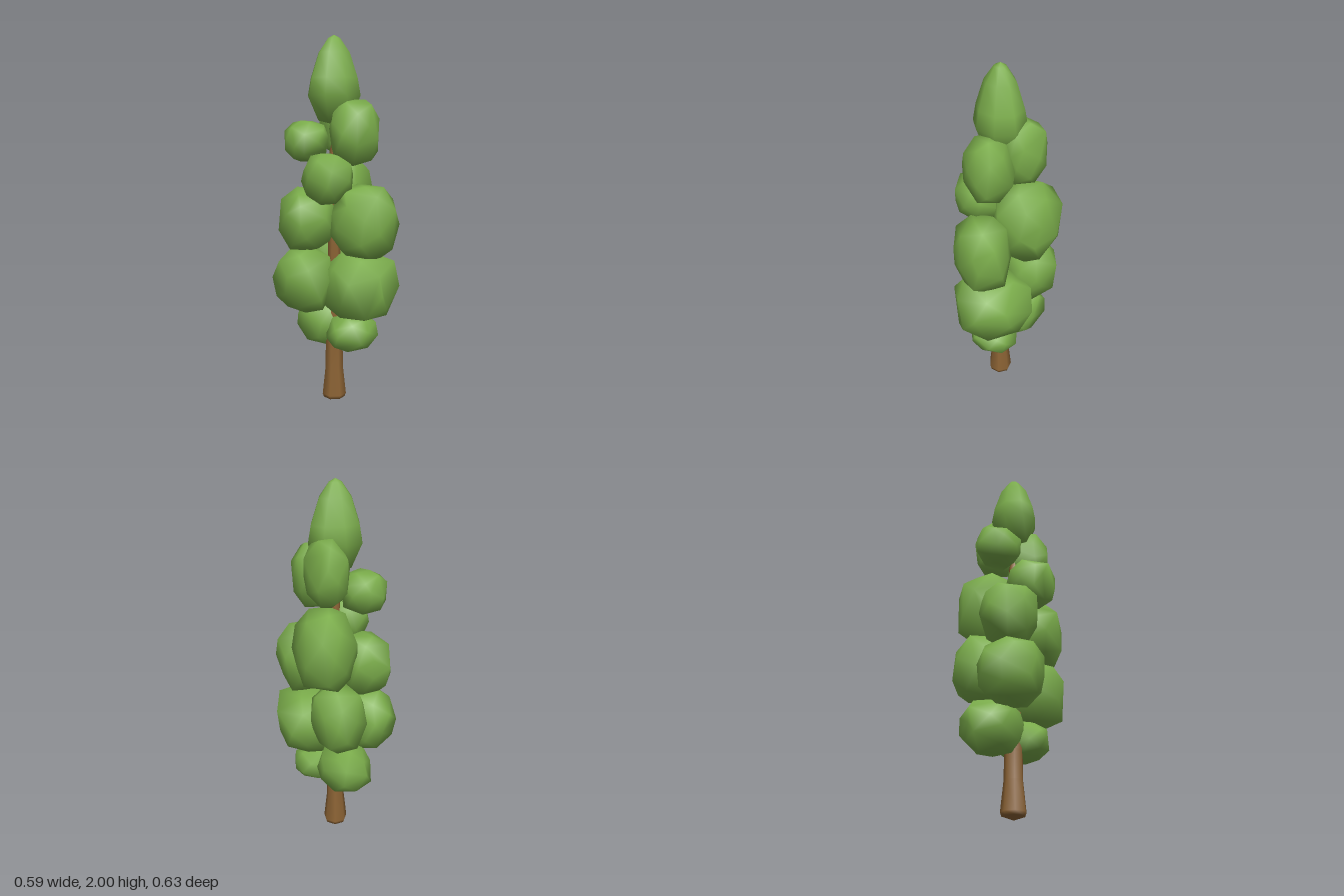
import * as THREE from 'three';
import { mergeVertices } from 'three/addons/utils/BufferGeometryUtils.js';
import { ConvexGeometry } from 'three/addons/geometries/ConvexGeometry.js';

// small seeded generator for repeatable irregularity
function seeded(seed) {
  let s = seed * 7919 + 17;
  return () => {
    s = (s * 16807) % 2147483647;
    return s / 2147483647;
  };
}

// faceted lump that exactly fills a box of half sizes rx, ry, rz; a higher power is boxier
function lumpGeometry(rx, ry, rz, power, seed) {
  const rand = seeded(seed);
  for (let i = 0; i < 5; i++) rand();
  const count = 30, turn = rand() * Math.PI * 2;
  const points = [];
  for (let i = 0; i < count; i++) {
    // spiral of points over a rounded box, each nudged a little
    const y = 1 - (2 * i + 1) / count;
    const a = i * 2.39996 + turn + (rand() - 0.5) * 0.5;
    const r = Math.sqrt(1 - y * y);
    const v = new THREE.Vector3(r * Math.cos(a), y, r * Math.sin(a));
    const len = Math.abs(v.x) ** power + Math.abs(v.y) ** power + Math.abs(v.z) ** power;
    points.push(v.multiplyScalar(len ** (-1 / power) * (0.95 + rand() * 0.08)));
  }
  let geo = new ConvexGeometry(points);
  geo.deleteAttribute('normal');
  geo = mergeVertices(geo, 1e-4);
  geo.center();
  geo.computeBoundingBox();
  const b = geo.boundingBox.max;
  geo.scale(rx / b.x, ry / b.y, rz / b.z);
  geo.computeVertexNormals();
  return geo;
}

export function createModel() {
  const model = new THREE.Group();
  model.name = 'tree';
  const leafGreen = new THREE.MeshStandardMaterial({ color: 0x7bad4b });
  leafGreen.name = 'leaf green';
  const barkBrown = new THREE.MeshStandardMaterial({ color: 0x8d6435 });
  barkBrown.name = 'bark brown';

  const add = (name, geo, mat, parent = model) => {
    const mesh = new THREE.Mesh(geo, mat);
    mesh.name = name;
    parent.add(mesh);
    return mesh;
  };
  const profile = (pts) => pts.map(([r, y]) => new THREE.Vector2(r, y));

  // trunk: flared foot, tapering up through the crown
  const trunk = new THREE.LatheGeometry(profile([
    [0, 0.005], [0.06, 0.025], [0.067, 0.045], [0.05, 0.2], [0.048, 0.35], [0.034, 0.9], [0.025, 1.4], [0, 1.5],
  ]), 7);
  add('trunk', trunk, barkBrown);

  // pointed top of the crown
  const tip = new THREE.LatheGeometry(profile([
    [0, 1.54], [0.09, 1.56], [0.15, 1.69], [0.133, 1.78], [0.088, 1.91], [0.034, 1.983], [0, 2.0],
  ]), 8);
  tip.scale(1, 1, 0.88);
  add('crownTip', tip, leafGreen);

  // leaf lumps: centre x, y, z, half sizes and boxiness
  const lumps = [
    [0.06, 1.5, 0.105, 0.13, 0.17, 0.122, 3],
    [0.08, 1.555, -0.08, 0.11, 0.175, 0.12, 2.5],
    [-0.1, 1.45, -0.12, 0.12, 0.11, 0.125, 2.6],
    [-0.08, 1.26, 0.07, 0.13, 0.135, 0.13, 2.5],
    [0.105, 1.155, -0.095, 0.15, 0.225, 0.18, 2.6],
    [0.09, 1.03, 0.16, 0.17, 0.2, 0.14, 3.2],
    [-0.125, 1.035, -0.07, 0.145, 0.17, 0.155, 2.6],
    [-0.145, 0.705, -0.07, 0.15, 0.178, 0.17, 2.7],
    [0.1, 0.68, 0.105, 0.195, 0.19, 0.21, 2.8],
    [0.055, 0.785, -0.155, 0.14, 0.185, 0.157, 2.7],
    [0.065, 0.415, 0.085, 0.145, 0.107, 0.13, 2.3],
    [-0.005, 0.46, -0.11, 0.14, 0.145, 0.16, 2.4],
  ];
  const foliage = new THREE.Group();
  foliage.name = 'foliage';
  model.add(foliage);
  lumps.forEach(([x, y, z, rx, ry, rz, power], i) => {
    const geo = lumpGeometry(rx, ry, rz, power, i + 1);
    add('leafLump' + (i + 1), geo, leafGreen, foliage).position.set(x, y, z);
  });
  return model;
}
